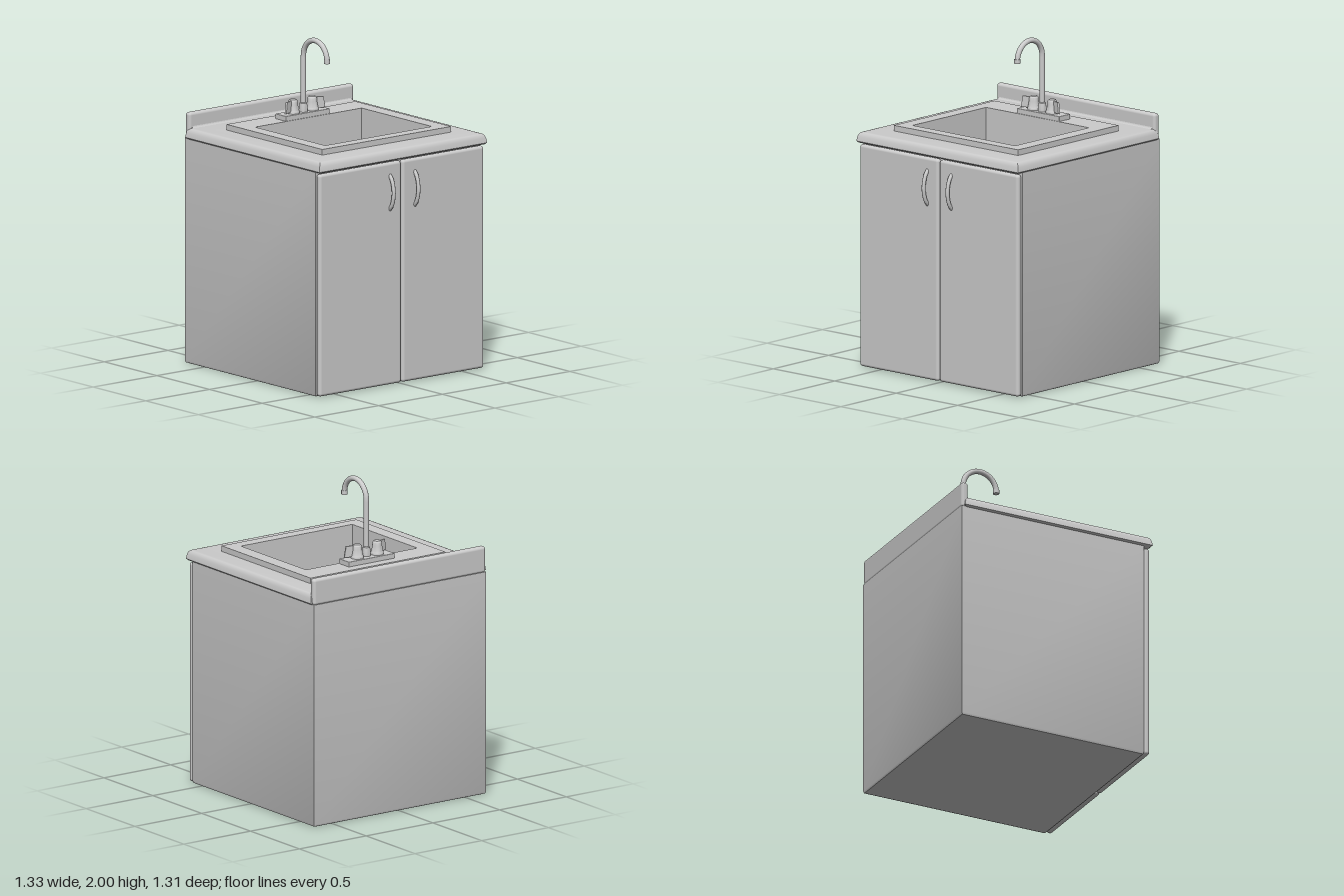
import * as THREE from 'three';
import { RoundedBoxGeometry } from 'three/addons/geometries/RoundedBoxGeometry.js';
import { toCreasedNormals } from 'three/addons/utils/BufferGeometryUtils.js';

const grey = new THREE.MeshStandardMaterial({ color: 0xcccccc });

// Skin through a series of horizontal rectangles [x0, x1, z0, z1, y].
function rectLoft(loops) {
  const pos = [];
  const corners = ([x0, x1, z0, z1, y]) => [[x1, y, z1], [x1, y, z0], [x0, y, z0], [x0, y, z1]];
  for (let k = 0; k + 1 < loops.length; k++) {
    const a = corners(loops[k]), b = corners(loops[k + 1]);
    for (let i = 0; i < 4; i++) {
      const j = (i + 1) % 4;
      for (const p of [a[i], a[j], b[j], a[i], b[j], b[i]]) pos.push(...p);
    }
  }
  const g = new THREE.BufferGeometry();
  g.setAttribute('position', new THREE.Float32BufferAttribute(pos, 3));
  return toCreasedNormals(g, 0.7);
}

// Rectangle moved inwards by d on every side, at height y.
const inset = ([x0, x1, z0, z1], d, y) => [x0 + d, x1 - d, z0 + d, z1 - d, y];

export function createModel() {
  const root = new THREE.Group();
  const add = (name, geometry, x = 0, y = 0, z = 0, parent = root) => {
    const m = new THREE.Mesh(geometry, grey);
    m.name = name;
    m.position.set(x, y, z);
    parent.add(m);
    return m;
  };
  const lathe = (pts, n = 24) =>
    toCreasedNormals(new THREE.LatheGeometry(pts.map(p => new THREE.Vector2(...p)), n), 0.6);

  const bowl = [-0.275, 0.39, -0.42, 0.415];
  const rim = [-0.445, 0.465, -0.51, 0.50];

  // Cabinet, open at the top for the bowl
  const body = [-0.665, 0.577, -0.645, 0.645];
  add('cabinet', rectLoft([
    [0, 0, 0, 0, 0], inset(body, 0.018, 0), inset(body, 0.005, 0.005), inset(body, 0, 0.018),
    inset(body, 0, 1.395), inset(bowl, -0.03, 1.395), inset(bowl, -0.03, 1.1), [0, 0, 0, 0, 1.1],
  ]));

  // Countertop with a rounded, slightly flared edge
  const top = [-0.648, 0.63, -0.657, 0.657];
  add('countertop', rectLoft([
    inset(bowl, -0.02, 1.392), inset(top, 0.012, 1.392), inset(top, 0, 1.402),
    inset(top, 0.005, 1.432), inset(top, 0.012, 1.448), inset(top, 0.021, 1.457),
    inset(top, 0.033, 1.46), inset(bowl, -0.02, 1.46), inset(bowl, -0.02, 1.392),
  ]));

  // Backsplash and the small cove where it meets the countertop
  add('backsplash', new RoundedBoxGeometry(0.045, 0.165, 1.29, 4, 0.018), -0.6425, 1.4725, 0);
  const cove = new THREE.Shape();
  cove.moveTo(0, 0);
  cove.lineTo(0.02, 0);
  cove.quadraticCurveTo(0, 0, 0, 0.02);
  add('backsplashCove', new THREE.ExtrudeGeometry(cove, { depth: 1.25, bevelEnabled: false, curveSegments: 5 }),
    -0.621, 1.459, -0.625);

  // Sink: raised rim and bowl in one skin
  add('sink', rectLoft([
    inset(rim, 0, 1.455), inset(rim, 0, 1.495), inset(bowl, 0, 1.495),
    inset(bowl, 0, 1.23), [0.06, 0.06, 0, 0, 1.23],
  ]));

  // Doors with bowed pulls
  for (const s of [1, -1]) {
    const side = s > 0 ? 'left' : 'right';
    add(side + 'Door', new RoundedBoxGeometry(0.04, 1.375, 0.641, 4, 0.018), 0.598, 0.695, s * 0.3245);
    const pull = new THREE.CatmullRomCurve3([
      [0.605, 1.085, 0], [0.633, 1.12, 0], [0.65, 1.197, 0], [0.633, 1.275, 0], [0.605, 1.31, 0],
    ].map(p => new THREE.Vector3(...p)));
    add(side + 'DoorPull', new THREE.TubeGeometry(pull, 20, 0.012, 10), 0, 0, s * 0.097 - 0.005);
  }

  // Tap
  const tap = new THREE.Group();
  tap.name = 'tap';
  root.add(tap);
  add('tapPlate', new RoundedBoxGeometry(0.1, 0.034, 0.345, 2, 0.004), -0.33, 1.509, -0.0025, tap);
  add('spoutCollar', lathe([[0.026, 0], [0.026, 0.025], [0.022, 0.055], [0.016, 0.06]]), -0.32, 1.525, 0, tap);

  const spout = new THREE.CurvePath();
  const r = 0.1125, cx = -0.2075, cy = 1.871;
  spout.add(new THREE.LineCurve3(new THREE.Vector3(-0.32, 1.525, 0), new THREE.Vector3(-0.32, cy, 0)));
  const arc = [];
  for (let i = 0; i <= 16; i++) {
    const a = Math.PI * (1 - i / 16);
    arc.push(new THREE.Vector3(cx + r * Math.cos(a), cy + r * Math.sin(a), 0));
  }
  spout.add(new THREE.CatmullRomCurve3(arc));
  add('spout', new THREE.TubeGeometry(spout, 64, 0.0165, 14), 0, 0, 0, tap);
  add('spoutTip', new THREE.CylinderGeometry(0.019, 0.019, 0.026, 18), cx + r, 1.873, 0, tap);

  // Tapered knobs, each with a thin lever fin pointing outwards
  for (const s of [1, -1]) {
    const knob = new THREE.Group();
    knob.name = s > 0 ? 'leftKnob' : 'rightKnob';
    knob.position.set(-0.328, 1.525, s * 0.075);
    knob.rotation.y = s > 0 ? -1.26 : 1.26;
    tap.add(knob);
    add('knobBody', lathe([
      [0.04, 0], [0.04, 0.012], [0.036, 0.018], [0.03, 0.055], [0.028, 0.076], [0.021, 0.085], [0, 0.085],
    ]), 0, 0, 0, knob);
    const fin = new THREE.Shape();
    fin.moveTo(0.015, 0.012);
    fin.lineTo(0.081, 0.012);
    fin.lineTo(0.07, 0.076);
    fin.lineTo(0.015, 0.076);
    add('knobLever', new THREE.ExtrudeGeometry(fin, {
      depth: 0.008, bevelEnabled: true, bevelThickness: 0.003, bevelSize: 0.003, bevelSegments: 2,
    }), 0, 0, -0.004, knob);
  }
  return root;
}
